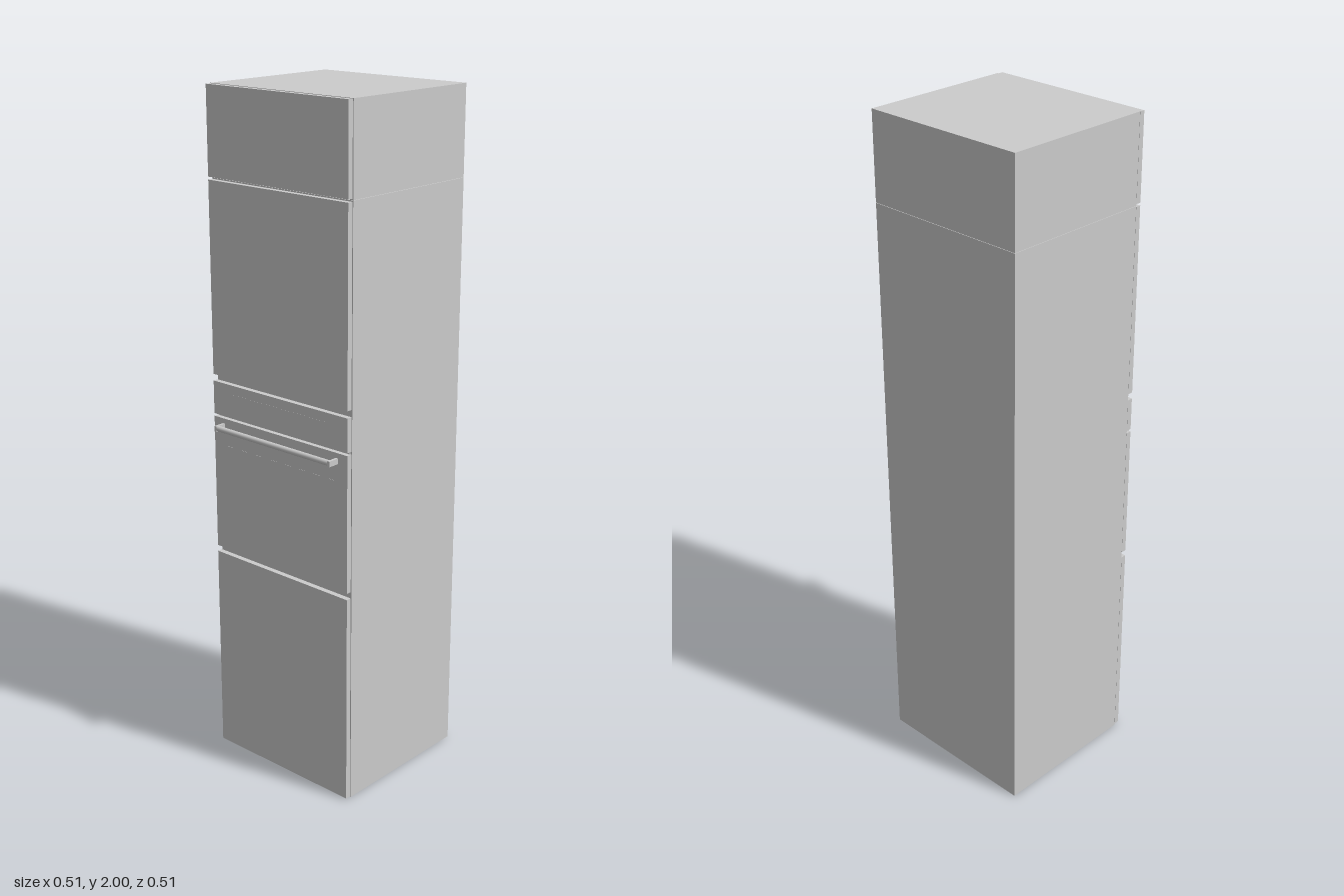
import * as THREE from 'three';

const material = new THREE.MeshStandardMaterial({ color: 0xcccccc });

// Box given by its lower and upper limits on each axis
function block(name, [x0, x1], [y0, y1], [z0, z1]) {
  const mesh = new THREE.Mesh(new THREE.BoxGeometry(x1 - x0, y1 - y0, z1 - z0), material);
  mesh.name = name;
  mesh.position.set((x0 + x1) / 2, (y0 + y1) / 2, (z0 + z1) / 2);
  return mesh;
}

export function createModel() {
  const model = new THREE.Group();
  model.name = 'tallOvenCabinet';

  // Two stacked carcasses
  const bodyX = [-0.256, 0.256];
  const bodyZ = [-0.257, 0.203];
  model.add(block('lowerCarcass', bodyX, [0, 1.745], bodyZ));
  model.add(block('upperCarcass', bodyX, [1.746, 2], bodyZ));

  // Front panels, with finger gaps above and below the oven
  const frontX = [-0.255, 0.255];
  const frontZ = [0.205, 0.221];
  const fronts = [
    ['lowerDoor', 0.003, 0.637],
    ['ovenDoor', 0.656, 1.061],
    ['ovenControlPanel', 1.069, 1.167],
    ['upperDoor', 1.187, 1.742],
    ['topDoor', 1.75, 1.999],
  ];
  for (const [name, y0, y1] of fronts) model.add(block(name, frontX, [y0, y1], frontZ));

  // Oven face set in the niche behind its door
  model.add(block('ovenBody', [-0.25, 0.25], [0.66, 1.163], [0.2, 0.207]));

  // Thin glass window and display strip
  model.add(block('ovenWindow', [-0.235, 0.235], [0.75, 0.98], [0.22, 0.2214]));
  model.add(block('ovenDisplay', [-0.18, 0.18], [1.1, 1.14], [0.22, 0.2214]));

  // Round handle bar on two end brackets
  const handle = new THREE.Group();
  handle.name = 'ovenHandle';
  const bar = new THREE.Mesh(new THREE.CylinderGeometry(0.008, 0.008, 0.428, 24), material);
  bar.name = 'handleBar';
  bar.rotation.z = Math.PI / 2;
  bar.position.set(0, 1.038, 0.247);
  handle.add(bar);
  for (const side of [-1, 1]) {
    const bracket = block('handleBracket', [-0.004, 0.004], [1.03, 1.046], [0.22, 0.255]);
    bracket.position.x = side * 0.217;
    handle.add(bracket);
  }
  model.add(handle);

  return model;
}
